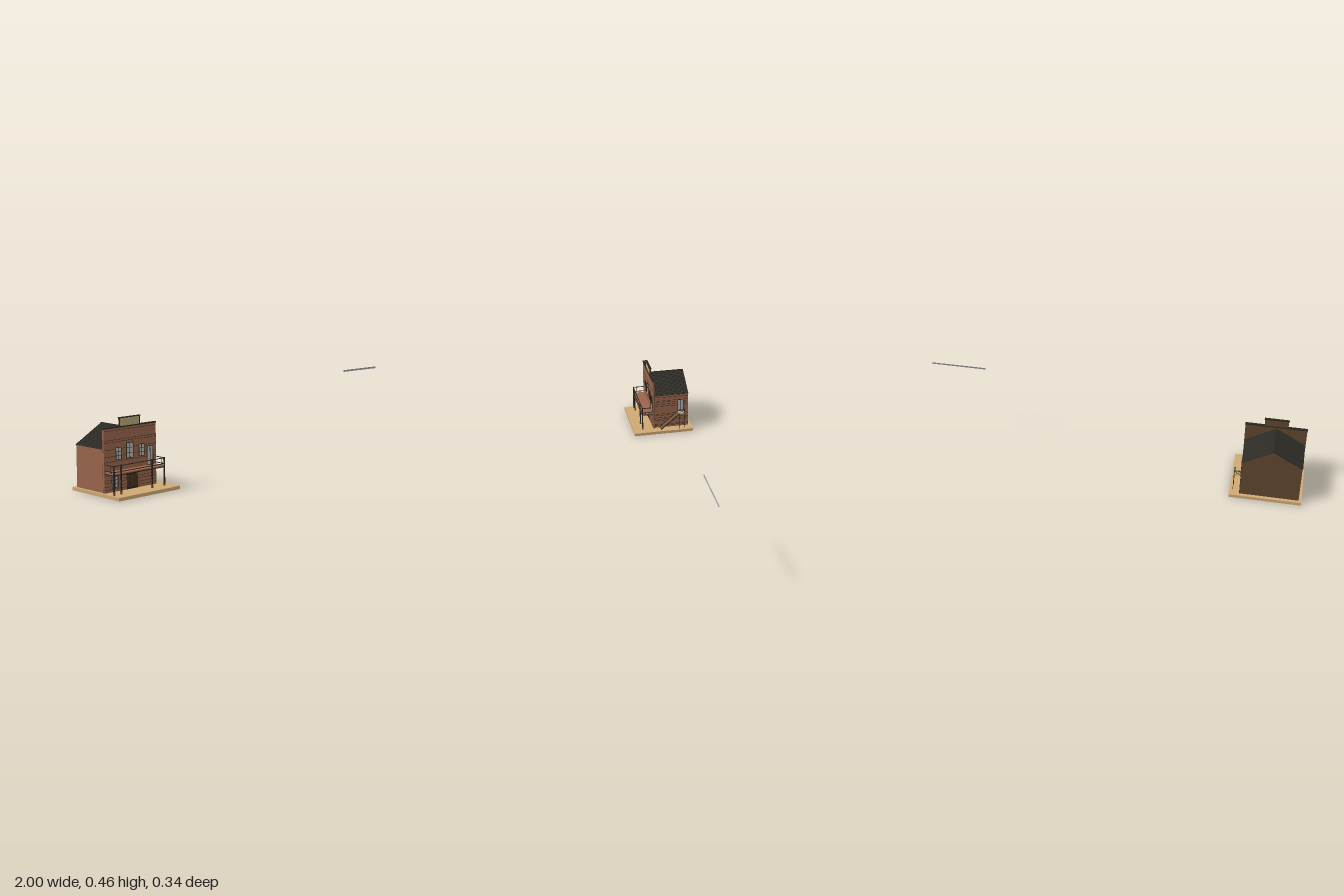
import * as THREE from 'three';

const mat = (color, side = THREE.FrontSide) => new THREE.MeshStandardMaterial({ color, side });
const M = {
  sand: mat(0xcfa874), wall: mat(0x9a654c), back: mat(0x5f4630), dark: mat(0x2b261e),
  roof: mat(0x2c2a24), glass: mat(0xb4b4b4), cream: mat(0xb5a678), door: mat(0x4a3422),
  tread: mat(0x75573a), grey: mat(0xa0a0a0, THREE.DoubleSide),
};
const G = 0.016; // top of the ground slab
const CX = -0.834; // centre line of the building

// Box given by its extents on each axis
function box(parent, name, m, x0, x1, y0, y1, z0, z1) {
  const b = new THREE.Mesh(new THREE.BoxGeometry(x1 - x0, y1 - y0, z1 - z0), m);
  b.position.set((x0 + x1) / 2, (y0 + y1) / 2, (z0 + z1) / 2);
  b.name = name;
  parent.add(b);
  return b;
}

// Square bar between two points
function bar(parent, name, m, a, b, w, h = w) {
  const p = new THREE.Vector3(...a), q = new THREE.Vector3(...b);
  const s = new THREE.Mesh(new THREE.BoxGeometry(w, h, p.distanceTo(q)), m);
  s.position.copy(p).add(q).multiplyScalar(0.5);
  s.lookAt(q);
  s.name = name;
  parent.add(s);
}

function group(parent, name) {
  const g = new THREE.Group();
  g.name = name;
  parent.add(g);
  return g;
}

// Framed panes on a local xy plane facing +z
function windowUnit(parent, name, w, h, cols, rows) {
  const g = group(parent, name), t = 0.0025;
  box(g, 'pane', M.glass, -w / 2, w / 2, 0, h, 0, 0.001);
  for (let i = 0; i <= cols; i++) {
    const x = -w / 2 + (w * i) / cols, k = i % cols ? t / 3 : t / 2;
    box(g, 'upright', M.dark, x - k, x + k, 0, h, 0, 0.003);
  }
  for (let j = 0; j <= rows; j++) {
    const y = (h * j) / rows, k = j % rows ? t / 3 : t / 2;
    box(g, 'crossbar', M.dark, -w / 2, w / 2, y - k, y + k, 0, 0.003);
  }
  return g;
}

function buildHouse(root) {
  const g = group(root, 'house');
  const x0 = -0.985, x1 = -0.683, eave = 0.216, ridge = 0.303;
  // Gabled body; sides in the wall colour, ends in the back colour
  const s = new THREE.Shape();
  s.moveTo(x0, G); s.lineTo(x1, G); s.lineTo(x1, eave); s.lineTo(CX, ridge); s.lineTo(x0, eave);
  const body = new THREE.Mesh(
    new THREE.ExtrudeGeometry(s, { depth: 0.198, bevelEnabled: false }), [M.back, M.wall]);
  body.position.z = -0.154;
  body.name = 'gabledBody';
  g.add(body);

  // Roof slopes with overlapping shingle rows
  const roof = group(g, 'roof');
  for (const dir of [-1, 1]) {
    const ex = dir < 0 ? x0 - 0.002 : x1 + 0.002;
    bar(roof, 'ridgeCap', M.dark, [CX, ridge + 0.002, -0.156], [CX, ridge + 0.002, 0.044], 0.006);
    const rows = 18;
    for (let i = 0; i < rows; i++) {
      const a = i / rows, b = (i + 1) / rows;
      const P = (t, lift) => [ex + (CX - ex) * t, eave + (ridge - eave) * t + lift, -0.056];
      bar(roof, 'shingleRow', M.roof, P(a, 0.003), P(b, 0.0015), 0.2, 0.003);
    }
  }

  // Board seams on the stair side
  [0.028, 0.035, 0.06, 0.069, 0.078, 0.093, 0.102, 0.151, 0.163, 0.176, 0.185, 0.207].forEach((y) =>
    box(g, 'sideSeam', M.dark, x1, x1 + 0.0008, y - 0.0008, y + 0.0008, -0.154, 0.044));
  for (const z of [-0.154, 0.043])
    box(g, 'cornerTrim', M.dark, x1, x1 + 0.001, G, eave, z - 0.001, z + 0.001);
  // Door onto the landing
  const d = windowUnit(g, 'sideDoor', 0.033, 0.073, 2, 1);
  d.position.set(x1, 0.111, -0.11);
  d.rotation.y = Math.PI / 2;
}

function buildFacade(root) {
  const g = group(root, 'facade');
  const x0 = -0.989, x1 = -0.675, f = 0.055;
  box(g, 'frontWall', M.wall, x0, x1, G, 0.313, 0.046, f);
  box(g, 'rearBoards', M.back, x0, x1, G, 0.313, 0.044, 0.046);
  box(g, 'cornice', M.dark, x0 - 0.002, x1 + 0.002, 0.312, 0.317, 0.043, f + 0.002);
  // Raised blank sign board
  box(g, 'signBack', M.back, -0.893, -0.772, 0.313, 0.355, 0.045, 0.049);
  box(g, 'signPanel', M.cream, -0.889, -0.776, 0.317, 0.353, 0.049, 0.053);
  for (const y of [0.312, 0.354])
    box(g, 'signRail', M.dark, -0.896, -0.769, y, y + 0.004, 0.044, 0.057);
  for (const x of [-0.893, -0.775])
    box(g, 'signStile', M.dark, x, x + 0.003, 0.313, 0.355, 0.046, 0.055);
  // Board seams
  [0.03, 0.044, 0.062, 0.074, 0.094, 0.158, 0.182, 0.214, 0.248, 0.258, 0.302].forEach((y) =>
    box(g, 'frontSeam', M.dark, x0, x1, y - 0.0008, y + 0.0008, f, f + 0.0008));
  // Windows and doors: centre x, sill, width, height, columns, rows
  [['upperWindow', -0.904, 0.164, 0.032, 0.056, 2, 3], ['upperWindow', -0.837, 0.164, 0.04, 0.072, 2, 3],
    ['upperWindow', -0.766, 0.164, 0.032, 0.056, 2, 3], ['balconyDoor', -0.714, 0.115, 0.036, 0.09, 2, 1],
    ['lowerWindow', -0.928, 0.036, 0.034, 0.052, 2, 3],
  ].forEach(([n, x, y, w, h, c, r]) => windowUnit(g, n, w, h, c, r).position.set(x, y, f));
  // Double swing doors in a dark doorway
  box(g, 'doorway', M.dark, -0.857, -0.791, G, 0.094, f, f + 0.001);
  for (const x of [-0.853, -0.823]) {
    box(g, 'swingDoor', M.door, x, x + 0.028, 0.026, 0.082, f, f + 0.003);
    for (let i = 0; i < 5; i++)
      box(g, 'louvre', M.dark, x + 0.004, x + 0.024, 0.034 + i * 0.009, 0.036 + i * 0.009, f, f + 0.004);
  }
}

function buildBalcony(root) {
  const g = group(root, 'balcony');
  const x0 = -0.985, x1 = -0.677, z0 = 0.055, z1 = 0.118;
  box(g, 'floor', M.wall, x0, x1, 0.109, 0.114, z0, z1);
  box(g, 'frontBeam', M.dark, x0, x1, 0.105, 0.109, z1 - 0.006, z1 + 0.002);
  for (const x of [x0, x1]) {
    box(g, 'endBeam', M.dark, x - 0.002, x + 0.002, 0.105, 0.109, z0, z1);
    for (const y of [0.12, 0.148])
      box(g, 'endRail', M.dark, x - 0.002, x + 0.002, y, y + 0.003, z0, z1);
    box(g, 'midBaluster', M.dark, x - 0.001, x + 0.001, 0.114, 0.148, 0.098, 0.1);
  }
  for (const y of [0.12, 0.148])
    box(g, 'frontRail', M.dark, x0, x1, y, y + 0.003, z1 - 0.003, z1 + 0.001);
  // Posts run from the ground up to the rail
  for (const x of [-0.983, -0.941, -0.755, -0.679]) {
    box(g, 'post', M.dark, x - 0.003, x + 0.003, G, 0.153, z1 - 0.004, z1 + 0.002);
    box(g, 'postFoot', M.tread, x - 0.004, x + 0.004, G, 0.03, z1 - 0.005, z1 + 0.003);
  }
}

function buildStairs(root) {
  const g = group(root, 'stairs');
  const x0 = -0.682, x1 = -0.647, n = 14, zb = 0.015, zt = -0.093, zl = -0.127, yl = 0.108;
  for (let i = 0; i < n; i++) {
    const y = G + ((yl - G) * (i + 1)) / n, z = zb + ((zt - zb) * (i + 0.5)) / n;
    box(g, 'tread', M.tread, x0, x1, y - 0.002, y, z - 0.005, z + 0.005);
  }
  for (const x of [x0 + 0.001, x1])
    bar(g, 'stringer', M.dark, [x, G + 0.002, zb], [x, yl - 0.002, zt], 0.002, 0.005);
  bar(g, 'handrail', M.dark, [x1, 0.046, zb], [x1, 0.136, zt], 0.002);
  bar(g, 'newel', M.dark, [x1, G, zb], [x1, 0.047, zb], 0.002);
  // Landing on thin legs
  box(g, 'landing', M.cream, x0, x1 + 0.001, yl, yl + 0.003, zl, zt);
  for (const z of [zt, zl]) {
    box(g, 'landingPost', M.dark, x1 - 0.001, x1 + 0.001, G, 0.137, z - 0.001, z + 0.001);
  }
  bar(g, 'landingRail', M.dark, [x1, 0.136, zt], [x1, 0.136, zl], 0.002);
  bar(g, 'landingRail', M.dark, [x0, 0.136, zl], [x1, 0.136, zl], 0.002);
  // Crossed braces
  bar(g, 'brace', M.dark, [x1, 0.112, zt], [x1, 0.135, zl], 0.0015);
  bar(g, 'brace', M.dark, [x1, 0.135, zt], [x1, 0.112, zl], 0.0015);
  bar(g, 'brace', M.dark, [x0, 0.112, zl], [x1, 0.135, zl], 0.0015);
  bar(g, 'brace', M.dark, [x0, 0.135, zl], [x1, 0.112, zl], 0.0015);
}

export function createModel() {
  const root = new THREE.Group();
  root.name = 'frontierHouse';
  box(root, 'ground', M.sand, -1, -0.63, 0, G, -0.172, 0.172);
  buildHouse(root);
  buildFacade(root);
  buildBalcony(root);
  buildStairs(root);
  // Separate thin strip floating far to the side
  const strip = new THREE.Mesh(new THREE.PlaneGeometry(0.295, 0.01), M.grey);
  strip.position.set(0.8525, 0.4525, 0.078);
  strip.rotation.x = -0.2;
  strip.name = 'looseStrip';
  root.add(strip);
  return root;
}
